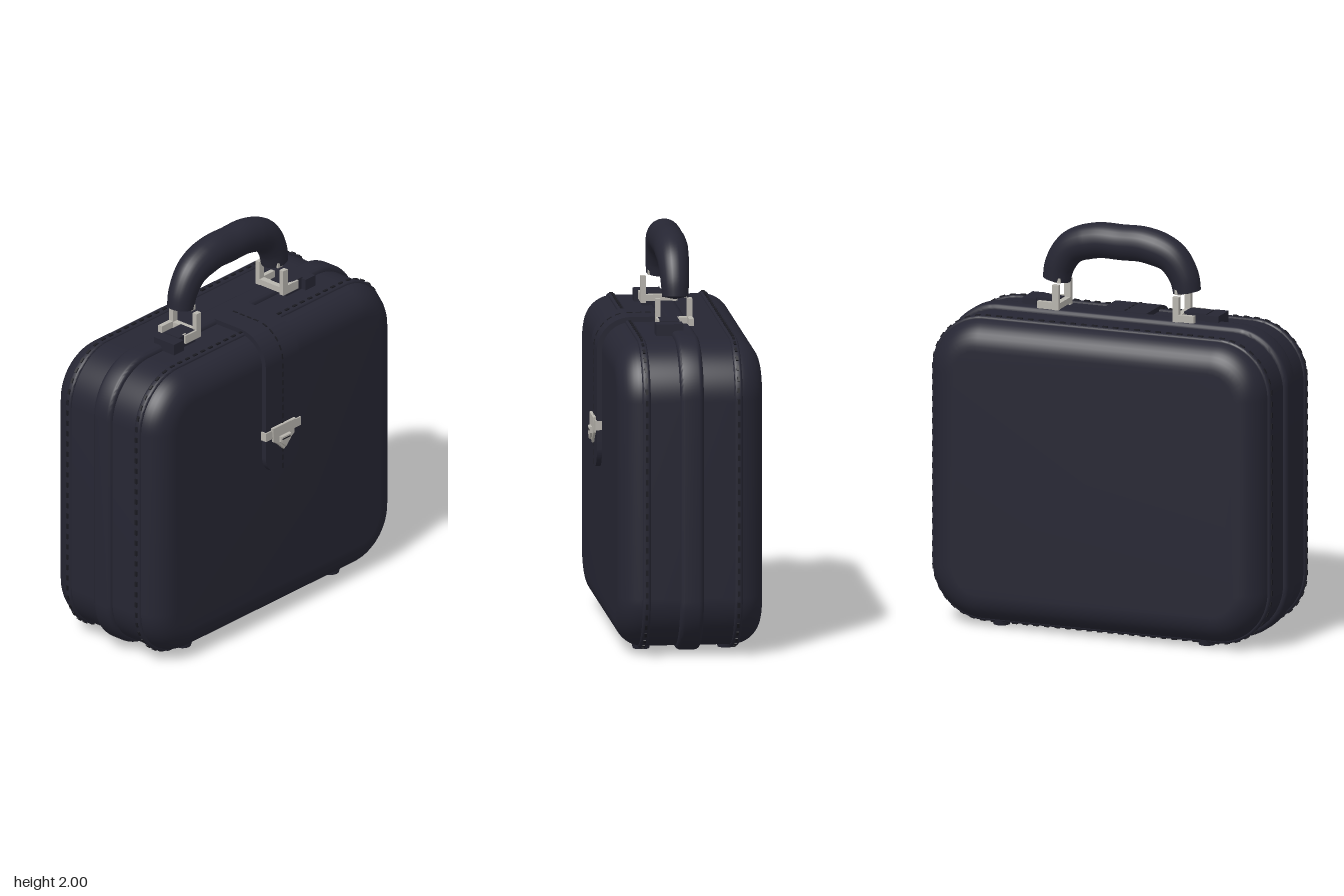
import * as THREE from 'three';
import { toCreasedNormals, mergeGeometries } from 'three/addons/utils/BufferGeometryUtils.js';

const leather = new THREE.MeshStandardMaterial({ color: 0x262633 });
leather.name = 'dark leather';
const thread = new THREE.MeshStandardMaterial({ color: 0x1b1b22 });
thread.name = 'dark thread';
const metal = new THREE.MeshStandardMaterial({ color: 0xb8b5ae });
metal.name = 'satin metal';

// Rounded rectangle outline in the xy plane
function outline(hw, y0, y1, r) {
  const s = new THREE.Shape();
  s.moveTo(hw, y0 + r);
  s.lineTo(hw, y1 - r);
  s.absarc(hw - r, y1 - r, r, 0, Math.PI / 2);
  s.lineTo(-hw + r, y1);
  s.absarc(-hw + r, y1 - r, r, Math.PI / 2, Math.PI);
  s.lineTo(-hw, y0 + r);
  s.absarc(-hw + r, y0 + r, r, Math.PI, Math.PI * 1.5);
  s.lineTo(hw - r, y0);
  s.absarc(hw - r, y0 + r, r, Math.PI * 1.5, Math.PI * 2);
  return s;
}

// Extrudes a shape from z0 to z1 with rounded edges
function slab(shape, z0, z1, bevel, segments = 4) {
  const g = new THREE.ExtrudeGeometry(shape, {
    depth: z1 - z0 - 2 * bevel, curveSegments: 14, bevelEnabled: bevel > 0,
    bevelThickness: bevel, bevelSize: bevel, bevelOffset: -bevel, bevelSegments: segments,
  });
  g.translate(0, 0, z0 + bevel);
  return toCreasedNormals(g, 0.6);
}

function polygon(points) {
  return new THREE.Shape(points.map(([x, y]) => new THREE.Vector2(x, y)));
}

export function createModel() {
  const model = new THREE.Group();
  model.name = 'case';
  const add = (name, geometry, material, parent = model) => {
    const m = new THREE.Mesh(geometry, material);
    m.name = name;
    parent.add(m);
    return m;
  };
  const box = (name, x0, x1, y0, y1, z0, z1, material, parent) => {
    const g = new THREE.BoxGeometry(x1 - x0, y1 - y0, z1 - z0);
    g.translate((x0 + x1) / 2, (y0 + y1) / 2, (z0 + z1) / 2);
    return add(name, g, material, parent);
  };

  // Shell and the raised band where the halves meet
  add('shell', slab(outline(0.88, 0.027, 1.535, 0.27), -0.38, 0.333, 0.14, 10), leather);
  add('middleBand', slab(outline(0.9, 0.006, 1.56, 0.28), -0.08, 0.037, 0.025), leather);

  // Piping with stitches around both halves
  for (const z of [0.2, -0.25]) {
    const side = z > 0 ? 'front' : 'back';
    add(side + 'Piping', slab(outline(0.889, 0.018, 1.544, 0.275), z - 0.02, z + 0.02, 0.012), leather);
    const pts = outline(0.89, 0.017, 1.545, 0.275).getSpacedPoints(110);
    const dashes = [];
    for (let i = 0; i < 110; i++) {
      const a = pts[i], b = pts[i + 1];
      const g = new THREE.BoxGeometry(0.026, 0.01, 0.012);
      g.rotateZ(Math.atan2(b.y - a.y, b.x - a.x));
      g.translate((a.x + b.x) / 2, (a.y + b.y) / 2, z);
      dashes.push(g);
    }
    add(side + 'Stitches', mergeGeometries(dashes), thread);
  }

  // Strap: side profile wraps over the top edge, then a rounded tongue
  const cz = 0.193, cy = 1.395;
  const profile = new THREE.Shape();
  profile.moveTo(0.325, 0.95);
  profile.lineTo(0.358, 0.95);
  profile.lineTo(0.358, cy);
  profile.absarc(cz, cy, 0.165, 0, Math.PI / 2);
  profile.lineTo(0.02, 1.56);
  profile.lineTo(0.02, 1.53);
  profile.lineTo(cz, 1.53);
  profile.absarc(cz, cy, 0.132, Math.PI / 2, 0, true);
  const strap = slab(profile, -0.121, 0.121, 0);
  strap.rotateY(-Math.PI / 2);
  add('strap', strap, leather);

  const tongue = new THREE.Shape();
  tongue.moveTo(0.121, 0.95);
  tongue.lineTo(-0.121, 0.95);
  tongue.lineTo(-0.121, 0.91);
  tongue.absarc(-0.021, 0.91, 0.1, Math.PI, Math.PI * 1.5);
  tongue.absarc(0.021, 0.91, 0.1, Math.PI * 1.5, Math.PI * 2);
  add('strapTongue', slab(tongue, 0.325, 0.358, 0), leather);

  // Stitches down the middle of the strap
  const strapStitches = [];
  const dash = (y, z, tilt) => {
    const g = new THREE.BoxGeometry(0.008, 0.028, 0.006);
    g.rotateX(tilt);
    g.translate(0, y, z);
    strapStitches.push(g);
  };
  for (let y = 0.83; y < 1.4; y += 0.045) dash(y, 0.358, 0);
  for (let a = 0.15; a < 1.5; a += 0.28) dash(cy + 0.165 * Math.sin(a), cz + 0.165 * Math.cos(a), -a);
  for (let z = 0.05; z < cz; z += 0.045) dash(1.56, z, Math.PI / 2);
  add('strapStitches', mergeGeometries(strapStitches), thread);

  // Clasp
  const clasp = new THREE.Group();
  clasp.name = 'clasp';
  model.add(clasp);
  box('claspBar', -0.128, 0.128, 1.005, 1.05, 0.33, 0.365, metal, clasp);
  add('claspPlate', slab(polygon([[-0.085, 1.062], [-0.075, 0.985], [-0.045, 0.965], [0, 0.922],
    [0.045, 0.965], [0.075, 0.985], [0.085, 1.062]]), 0.35, 0.371, 0.003, 1), metal, clasp);
  add('claspLatch', slab(polygon([[-0.035, 1.005], [-0.035, 0.975], [0, 0.94],
    [0.035, 0.975], [0.035, 1.005]]), 0.365, 0.385, 0.004, 1), metal, clasp);
  box('claspSlot', -0.028, 0.028, 0.987, 0.993, 0.38, 0.387, thread, clasp);

  // Handle: a tube, slimmer toward its closed ends
  const path = new THREE.CatmullRomCurve3([
    [-0.345, 1.685], [-0.325, 1.775], [-0.26, 1.865], [-0.13, 1.91], [0, 1.912],
    [0.13, 1.91], [0.26, 1.865], [0.325, 1.775], [0.345, 1.685],
  ].map(([x, y]) => new THREE.Vector3(x, y, 0)));
  const rings = 72, sides = 24;
  const tube = new THREE.TubeGeometry(path, rings, 0.088, sides);
  const pos = tube.attributes.position, v = new THREE.Vector3();
  for (let i = 0; i <= rings; i++) {
    const c = path.getPointAt(i / rings);
    const end = Math.min(i, rings - i);
    const k = end === 0 ? 0 : 0.78 + 0.22 * Math.min(1, end / 22);
    for (let j = 0; j <= sides; j++) {
      const n = i * (sides + 1) + j;
      v.fromBufferAttribute(pos, n).sub(c).multiplyScalar(k);
      v.z *= 0.93;
      v.add(c);
      pos.setXYZ(n, v.x, v.y, v.z);
    }
  }
  add('handle', toCreasedNormals(tube, 0.7), leather);

  // Handle mounts and metal brackets, mirrored
  for (const s of [-1, 1]) {
    const side = s > 0 ? 'left' : 'right';
    const g = new THREE.Group();
    g.name = side + 'HandleMount';
    model.add(g);
    const part = (name, x0, x1, y0, y1, z0, z1, mat) =>
      box(name, Math.min(s * x0, s * x1), Math.max(s * x0, s * x1), y0, y1, z0, z1, mat, g);
    part('mountPad', 0.445, 0.515, 1.53, 1.592, -0.02, 0.112, leather);
    part('mountTab', 0.33, 0.45, 1.53, 1.597, -0.01, 0.085, leather);
    part('bracketFrontArm', 0.3, 0.412, 1.553, 1.597, 0.07, 0.095, metal);
    part('bracketBackArm', 0.3, 0.412, 1.562, 1.597, -0.085, -0.06, metal);
    part('bracketCrossbar', 0.3, 0.333, 1.562, 1.592, -0.085, 0.095, metal);
    part('bracketFrontPost', 0.3, 0.333, 1.56, 1.685, 0.07, 0.095, metal);
    part('bracketBackPost', 0.3, 0.333, 1.56, 1.685, -0.085, -0.06, metal);
    part('bracketPin', 0.3, 0.333, 1.69, 1.715, -0.06, 0.06, metal);
  }

  // Feet
  for (const x of [-0.54, 0.54]) for (const z of [0.19, -0.225]) {
    const foot = new THREE.CylinderGeometry(0.05, 0.04, 0.035, 20);
    foot.translate(x, 0.0175, z);
    add('foot', foot, leather);
  }

  return model;
}
